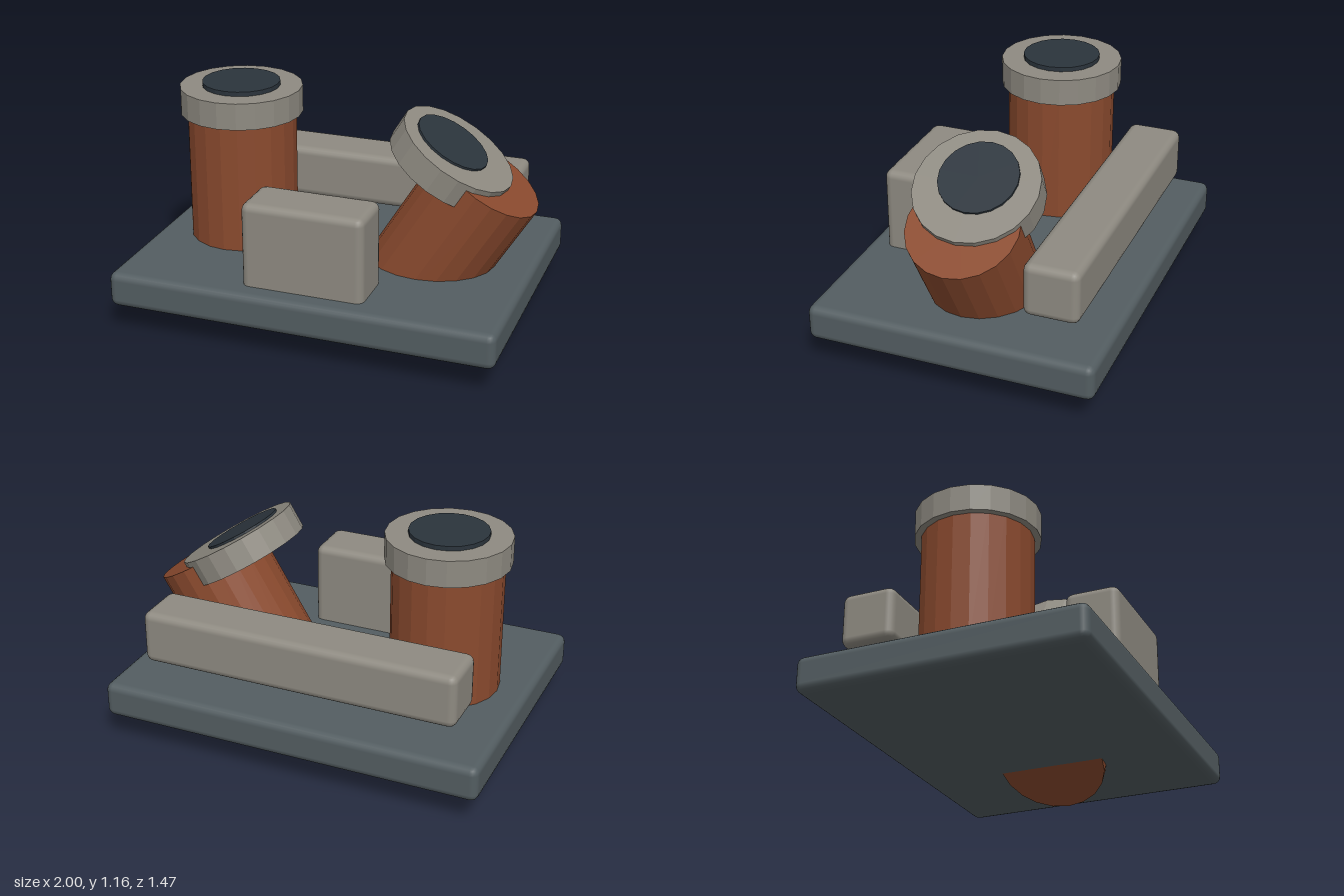
import * as THREE from 'three';
import { RoundedBoxGeometry } from 'three/addons/geometries/RoundedBoxGeometry.js';

const mat = (name, color, flatShading = false) => {
  const m = new THREE.MeshStandardMaterial({ color, flatShading });
  m.name = name;
  return m;
};

export function createModel() {
  const model = new THREE.Group();
  model.name = 'twinCylinderBlock';

  const slate = mat('slate', 0x535d61);
  const stone = mat('stone', 0x8e8a81);
  const stoneFaceted = stone.clone();
  stoneFaceted.flatShading = true;
  const rust = mat('rust', 0x8a4a2e, true);
  const dark = mat('darkBlue', 0x2b343c, true);

  // Softly rounded box given by its min and max corners
  const box = (name, material, min, max, radius) => {
    const size = max.map((v, i) => v - min[i]);
    const mesh = new THREE.Mesh(new RoundedBoxGeometry(...size, 2, radius), material);
    mesh.position.set(...max.map((v, i) => (v + min[i]) / 2));
    mesh.name = name;
    model.add(mesh);
  };

  // Faceted cylinder, tilted about z around its own centre
  const cylinder = (name, material, radius, height, x, y, tilt) => {
    const mesh = new THREE.Mesh(new THREE.CylinderGeometry(radius, radius, height, 20), material);
    mesh.position.set(x, y, 0);
    mesh.rotation.z = tilt;
    mesh.name = name;
    model.add(mesh);
  };

  // Base slab and the two blocks
  box('base', slate, [-1, 0.153, -0.735], [0.99, 0.337, 0.735], 0.04);
  box('frontBlock', stone, [-0.318, 0.25, 0.352], [0.31, 0.77, 0.632], 0.04);
  box('rearBar', stone, [-0.835, 0.435, -0.6], [0.825, 0.712, -0.318], 0.04);

  // Upright cylinder with collar and dark opening
  cylinder('uprightBody', rust, 0.281, 0.77, -0.568, 0.685, 0);
  cylinder('uprightCollar', stoneFaceted, 0.315, 0.138, -0.568, 1.078, 0);
  cylinder('uprightOpening', dark, 0.2, 0.04, -0.568, 1.15, 0);

  // Leaning cylinder, passing through the base
  const tilt = -0.55;
  cylinder('leaningBody', rust, 0.281, 0.77, 0.556, 0.484, tilt);
  cylinder('leaningCollar', stoneFaceted, 0.315, 0.138, 0.556, 0.888, tilt);
  cylinder('leaningOpening', dark, 0.2, 0.04, 0.553, 0.961, tilt);

  return model;
}
